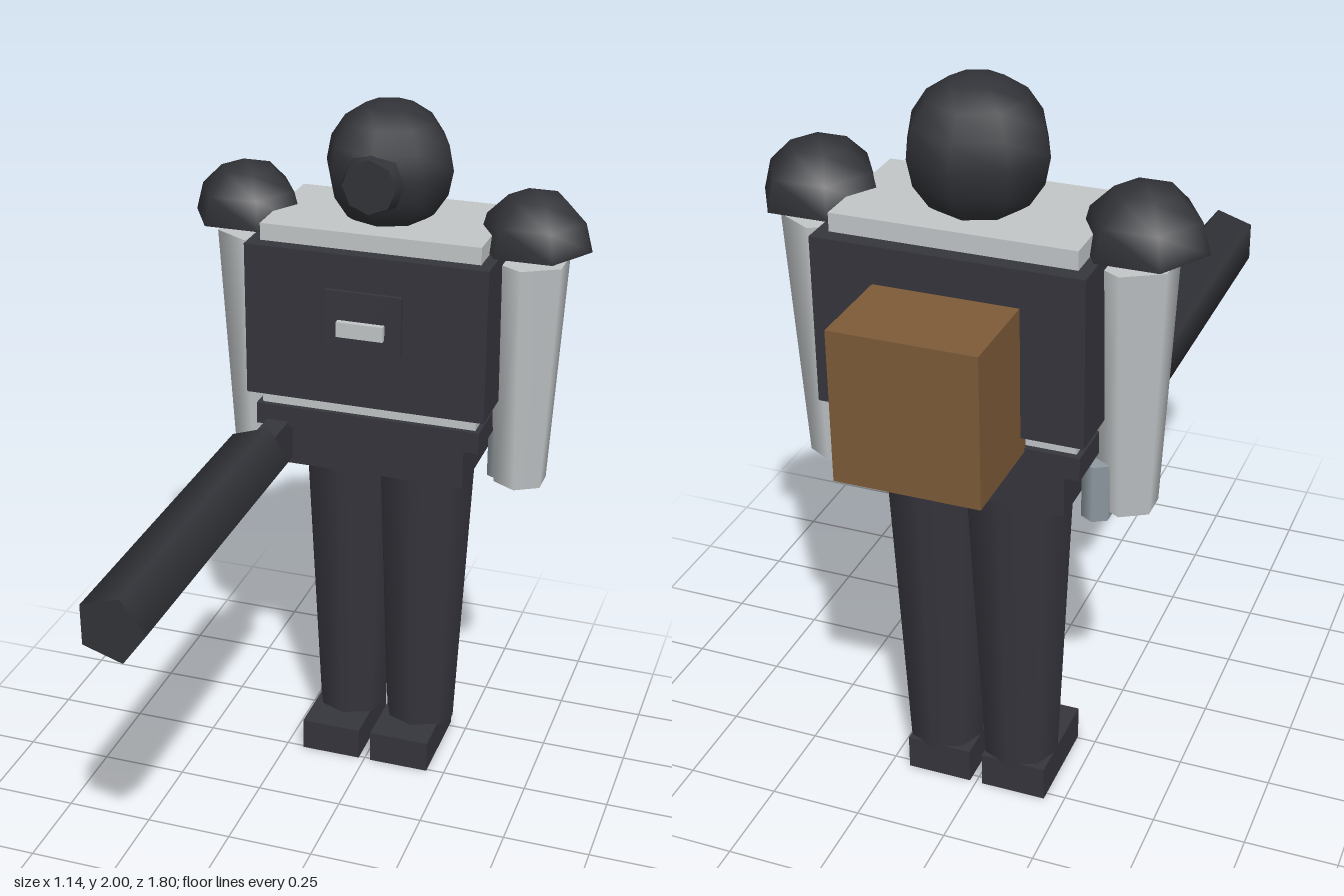
import * as THREE from 'three';

function mat(name, color) {
  const m = new THREE.MeshStandardMaterial({ color });
  m.name = name;
  return m;
}

export function createModel() {
  const root = new THREE.Group();
  root.name = 'armouredFigure';
  const armour = mat('dark armour', 0x36353d);
  const helmet = mat('helmet black', 0x323338);
  const helmetOpen = mat('shoulder black', 0x323338);
  helmetOpen.side = THREE.DoubleSide;
  const cloth = mat('pale grey', 0xc2c6c8);
  const metal = mat('blue grey', 0x8f9aa2);
  const leather = mat('brown leather', 0x7d5b38);
  const Z = -0.43; // depth of the body's centre line

  const add = (name, geo, material, x, y, z) => {
    const m = new THREE.Mesh(geo, material);
    m.name = name;
    m.position.set(x, y, z);
    root.add(m);
    return m;
  };
  // Box given by its limits on each axis
  const box = (name, material, x0, x1, y0, y1, z0, z1) =>
    add(name, new THREE.BoxGeometry(x1 - x0, y1 - y0, z1 - z0), material,
      (x0 + x1) / 2, (y0 + y1) / 2, (z0 + z1) / 2);
  // Upright tapered limb between two heights
  const limb = (name, material, rTop, rBottom, y0, y1, sides, x, z) =>
    add(name, new THREE.CylinderGeometry(rTop, rBottom, y1 - y0, sides), material, x, (y0 + y1) / 2, z);

  // Head with a blunt face piece
  add('head', new THREE.SphereGeometry(0.18, 8, 8), helmet, 0, 1.82, Z);
  add('facePiece', new THREE.CylinderGeometry(0.075, 0.095, 0.07, 8).rotateX(Math.PI / 2),
    helmet, 0, 1.812, -0.28);

  // Torso, armour and chest details
  box('torso', cloth, -0.31, 0.31, 1.12, 1.68, -0.605, -0.25);
  box('bodyArmour', armour, -0.342, 0.342, 1.195, 1.632, -0.647, -0.21);
  box('chestPlate', armour, -0.108, 0.108, 1.362, 1.532, -0.22, -0.198);
  box('chestBadge', cloth, -0.066, 0.066, 1.412, 1.455, -0.185, -0.168);
  box('belt', armour, -0.324, 0.324, 1.09, 1.152, -0.622, -0.235);
  box('hips', armour, -0.274, 0.274, 0.962, 1.09, -0.59, -0.266);
  box('backpack', leather, -0.184, 0.184, 1.143, 1.535, -0.898, -0.612);

  // Shoulders, arms, hands, legs and feet
  for (const s of [-1, 1]) {
    const side = s > 0 ? 'left' : 'right';
    add(side + 'Shoulder', new THREE.SphereGeometry(0.157, 6, 3, 0, Math.PI * 2, 0, Math.PI / 2),
      helmetOpen, s * 0.411, 1.636, Z);
    limb(side + 'Arm', cloth, 0.113, 0.077, 0.934, 1.6, 6, s > 0 ? 0.4 : -0.385, Z);
    limb(side + 'Hand', metal, 0.04, 0.04, 0.915, 1.07, 6, s > 0 ? 0.33 : -0.322, -0.482);
    limb(side + 'Leg', armour, 0.146, 0.105, 0.09, 0.965, 8, s > 0 ? 0.12 : -0.097, Z);
    const inner = s * 0.018, outer = s * 0.197;
    box(side + 'Foot', armour, Math.min(inner, outer), Math.max(inner, outer), 0, 0.098, -0.523, -0.243);
  }

  // Five-sided barrel pointing forward from the right hip
  add('barrel', new THREE.CylinderGeometry(0.0925, 0.0925, 0.98, 5).rotateX(Math.PI / 2).rotateZ(Math.PI / 2),
    helmet, -0.262, 1.066, 0.408);
  box('barrelMount', armour, -0.294, -0.229, 0.983, 1.106, -0.32, -0.08);

  return root;
}
